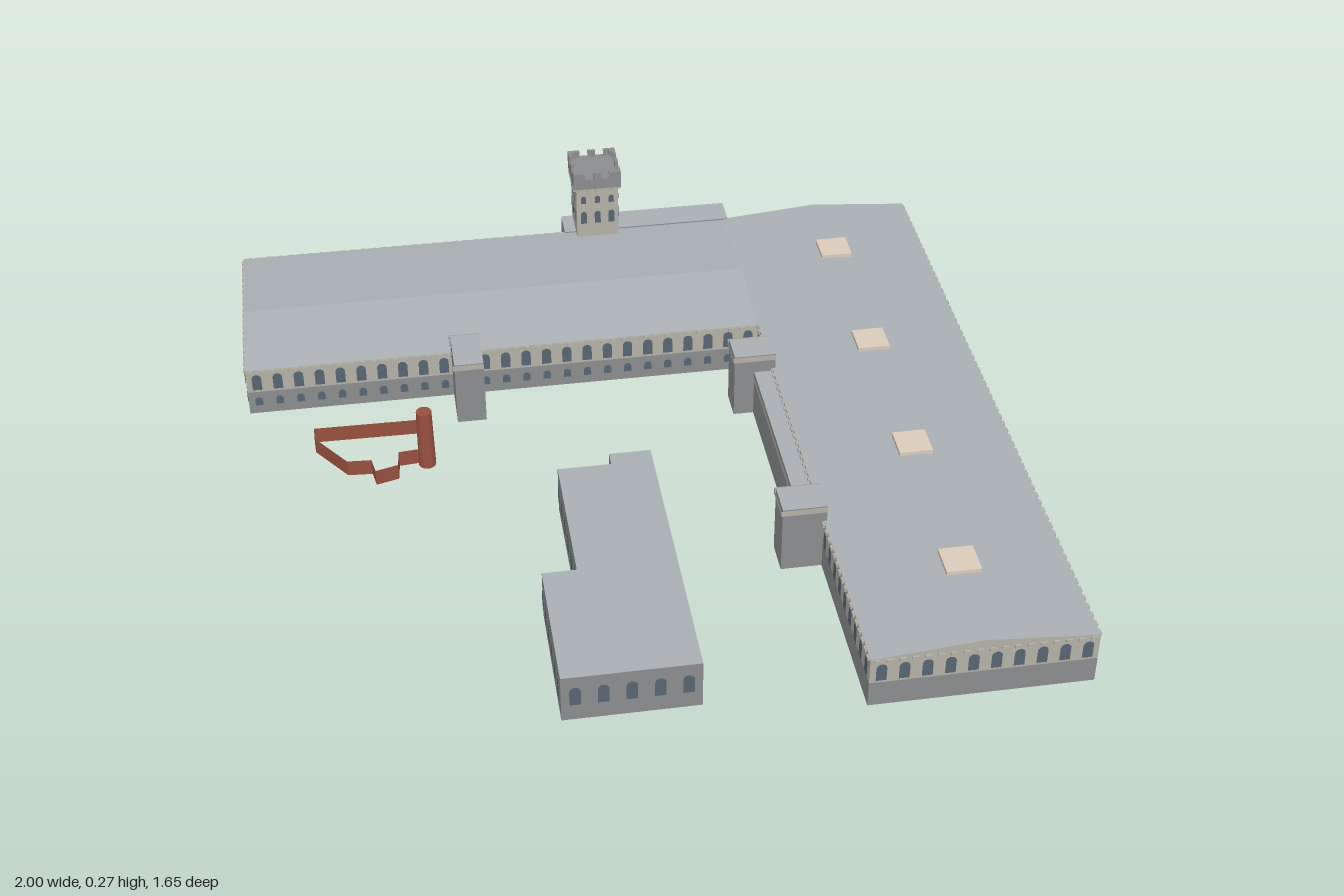
import * as THREE from 'three';
import { mergeGeometries } from 'three/addons/utils/BufferGeometryUtils.js';

const mat = (color) => new THREE.MeshStandardMaterial({ color, side: THREE.DoubleSide, flatShading: true });
const M = {
  base: mat(0x8a8c8e), wall: mat(0xb3b0a6), roof: mat(0xa9afb4), glass: mat(0x566672),
  beige: mat(0xd9cbb8), brick: mat(0x97503f),
};

function add(parent, name, geometry, material) {
  const m = new THREE.Mesh(geometry, material);
  m.name = name;
  parent.add(m);
  return m;
}

// Flat polygons (fans of [x, y, z] corners) as one surface
function surface(polys) {
  const p = [];
  for (const q of polys)
    for (let i = 1; i < q.length - 1; i++) p.push(...q[0], ...q[i], ...q[i + 1]);
  const g = new THREE.BufferGeometry();
  g.setAttribute('position', new THREE.Float32BufferAttribute(p, 3));
  g.computeVertexNormals();
  return g;
}

// Upright walls along a closed [x, z] outline, front wall running left to right
function walls(pts, y0, y1) {
  return surface(pts.map(([x, z], i) => {
    const [u, w] = pts[(i + 1) % pts.length];
    return [[x, y0, z], [u, y0, w], [u, y1, w], [x, y1, z]];
  }));
}

const rect = (x0, x1, z0, z1) => [[x0, z1], [x1, z1], [x1, z0], [x0, z0]];

// Arched window pane standing on y = 0
function pane(w, h) {
  const s = new THREE.Shape();
  s.moveTo(-w / 2, 0);
  s.lineTo(w / 2, 0);
  s.lineTo(w / 2, h - w / 2);
  s.absarc(0, h - w / 2, w / 2, 0, Math.PI);
  s.lineTo(-w / 2, 0);
  return new THREE.ShapeGeometry(s, 4);
}

// n copies of a piece evenly spaced along a wall from a to b (left to right from outside)
function row(piece, a, b, n, y, out = 0.002) {
  const dx = b[0] - a[0], dz = b[1] - a[1], ry = Math.atan2(-dz, dx);
  return Array.from({ length: n }, (_, i) => {
    const t = (i + 0.5) / n;
    return piece.clone().rotateY(ry).translate(
      a[0] + dx * t + Math.sin(ry) * out, y, a[1] + dz * t + Math.cos(ry) * out);
  });
}

// Rows of pieces round an outline; spacing sets how many fit on each wall
function around(piece, pts, spacing, y, out) {
  return pts.flatMap((a, i) => {
    const b = pts[(i + 1) % pts.length];
    const n = Math.round(Math.hypot(b[0] - a[0], b[1] - a[1]) / spacing);
    return n ? row(piece, a, b, n, y, out) : [];
  });
}

// Flat-roofed block, open underneath
function block(parent, name, pts, h) {
  const g = new THREE.Group();
  g.name = name;
  parent.add(g);
  add(g, 'walls', walls(pts, 0, h), M.base);
  const s = new THREE.Shape(pts.map(([x, z]) => new THREE.Vector2(x, -z)));
  add(g, 'flatRoof', new THREE.ShapeGeometry(s).rotateX(-Math.PI / 2).translate(0, h, 0), M.roof);
  return g;
}

// Long wing with plinth, upper storey, gabled roof and eaves blocks
function wing(parent, name, x0, x1, z0, z1, eave, ridge, alongX) {
  const g = new THREE.Group();
  g.name = name;
  parent.add(g);
  const pts = rect(x0, x1, z0, z1);
  add(g, 'plinth', walls(pts, 0, 0.052), M.base);
  add(g, 'upperWalls', walls(pts, 0.052, eave), M.wall);
  const xm = (x0 + x1) / 2, zm = z0 + (z1 - z0) * 0.54;
  const [r0, r1] = alongX ? [[x0, ridge, zm], [x1, ridge, zm]] : [[xm, ridge, z1], [xm, ridge, z0]];
  const [a, b, c, d] = pts.map(([x, z]) => [x, eave, z]);
  add(g, 'roof', surface(alongX
    ? [[a, b, r1, r0], [c, d, r0, r1]]
    : [[b, c, r1, r0], [d, a, r0, r1]]), M.roof);
  add(g, 'gables', surface(alongX ? [[b, c, r1], [d, a, r0]] : [[a, b, r0], [c, d, r1]]), M.wall);
  add(g, 'eavesBlocks', mergeGeometries(
    around(new THREE.BoxGeometry(0.011, 0.006, 0.005), pts, 0.022, eave - 0.004, 0.001)), M.wall);
  return g;
}

export function createModel() {
  const root = new THREE.Group();
  const site = new THREE.Group();
  site.name = 'site';
  site.rotation.y = 0.615;
  root.add(site);
  const tall = pane(0.019, 0.037), low = pane(0.015, 0.02);

  // East wing with windows on its free walls and roof lights along the ridge
  const east = wing(site, 'eastWing', 0.224, 0.629, -0.573, 0.843, 0.106, 0.123, false);
  add(east, 'windows', mergeGeometries([
    ...row(tall, [0.629, 0.843], [0.629, -0.573], 33, 0.058),
    ...row(tall, [0.224, 0.843], [0.629, 0.843], 10, 0.058),
    ...row(tall, [0.629, -0.573], [0.224, -0.573], 10, 0.058),
    ...row(tall, [0.224, -0.16], [0.224, -0.07], 2, 0.058),
    ...row(tall, [0.224, 0.475], [0.224, 0.843], 9, 0.058),
  ]), M.glass);
  for (let i = 0; i < 4; i++)
    add(east, 'roofLight', new THREE.BoxGeometry(0.064, 0.016, 0.064), M.beige)
      .position.set(0.433, 0.121, -0.391 + 0.343 * i);

  // West wing with two rows of windows
  const west = wing(site, 'westWing', -0.817, 0.224, -0.575, -0.162, 0.105, 0.12, true);
  const westRows = [[[-0.817, -0.162], [0.224, -0.162], 25], [[0.224, -0.575], [-0.817, -0.575], 25],
    [[-0.817, -0.575], [-0.817, -0.162], 10]];
  add(west, 'windows', mergeGeometries(westRows.flatMap(([a, b, n]) =>
    [...row(tall, a, b, n, 0.058), ...row(low, a, b, n, 0.02)])), M.glass);

  // Rear annex beside the tower
  const annexPts = rect(-0.125, 0.235, -0.635, -0.57);
  const annex = block(site, 'rearAnnex', annexPts, 0.108);
  add(annex, 'windows', mergeGeometries([
    ...row(tall, [0.235, -0.635], [0.0, -0.635], 6, 0.058),
    ...row(low, [0.235, -0.635], [0.0, -0.635], 6, 0.02)]), M.glass);

  // Tower with projecting battlemented crown
  const tower = new THREE.Group();
  tower.name = 'tower';
  tower.position.set(-0.055, 0, -0.594);
  site.add(tower);
  const shaft = rect(-0.045, 0.045, -0.045, 0.045), crown = rect(-0.051, 0.051, -0.051, 0.051);
  add(tower, 'shaft', walls(shaft, 0, 0.23), M.wall);
  add(tower, 'crown', new THREE.BoxGeometry(0.102, 0.024, 0.102).translate(0, 0.24, 0), M.base);
  add(tower, 'corbels', mergeGeometries(
    around(new THREE.BoxGeometry(0.009, 0.01, 0.006), shaft, 0.018, 0.223, 0.003)), M.wall);
  add(tower, 'merlons', mergeGeometries([
    ...around(new THREE.BoxGeometry(0.016, 0.014, 0.007), crown, 0.034, 0.259, -0.0035),
    ...crown.map(([x, z]) => new THREE.BoxGeometry(0.013, 0.014, 0.013)
      .translate(x * 0.873, 0.259, z * 0.873))]), M.base);
  const slit = pane(0.013, 0.03), small = pane(0.011, 0.018);
  add(tower, 'windows', mergeGeometries([
    ...around(small, shaft, 0.03, 0.19), ...around(slit, shaft, 0.03, 0.14),
    ...row(slit, shaft[2], shaft[3], 2, 0.08), ...row(slit, shaft[2], shaft[3], 2, 0.025)]), M.glass);

  // Stair blocks and the narrow gallery against the wings
  for (const [name, x0, x1, z0, z1, h] of [
    ['eastStairBlock', 0.147, 0.23, -0.07, -0.008, 0.14],
    ['eastStairBlock', 0.147, 0.23, 0.407, 0.472, 0.14],
    ['westStairBlock', -0.405, -0.347, -0.17, -0.068, 0.14],
    ['gallery', 0.187, 0.226, -0.008, 0.407, 0.1],
  ]) {
    const b = block(site, name, rect(x0, x1, z0, z1), h);
    add(b, 'cornice', walls(rect(x0 - 0.003, x1, z0 - 0.003, z1 + 0.003), h - 0.012, h), M.wall);
  }

  // Detached building with stepped outline
  const outline = [[-0.3, 0.797], [-0.055, 0.797], [-0.055, 0.204], [-0.135, 0.204],
    [-0.135, 0.235], [-0.237, 0.235], [-0.237, 0.525], [-0.3, 0.525]];
  const detached = block(site, 'detachedBuilding', outline, 0.097);
  add(detached, 'windows', mergeGeometries(around(pane(0.02, 0.04), outline, 0.049, 0.035)), M.glass);

  // Low brick enclosure and round chimney
  const yard = [[-0.69, -0.014], [-0.63, 0.069], [-0.583, 0.072], [-0.577, 0.107], [-0.533, 0.095],
    [-0.529, 0.055], [-0.483, 0.051], [-0.478, -0.043], [-0.69, -0.046]];
  add(site, 'brickEnclosure', walls(yard, 0, 0.034), M.brick);
  add(site, 'chimney', new THREE.CylinderGeometry(0.015, 0.017, 0.128, 12), M.brick)
    .position.set(-0.475, 0.064, 0.056);

  return root;
}
